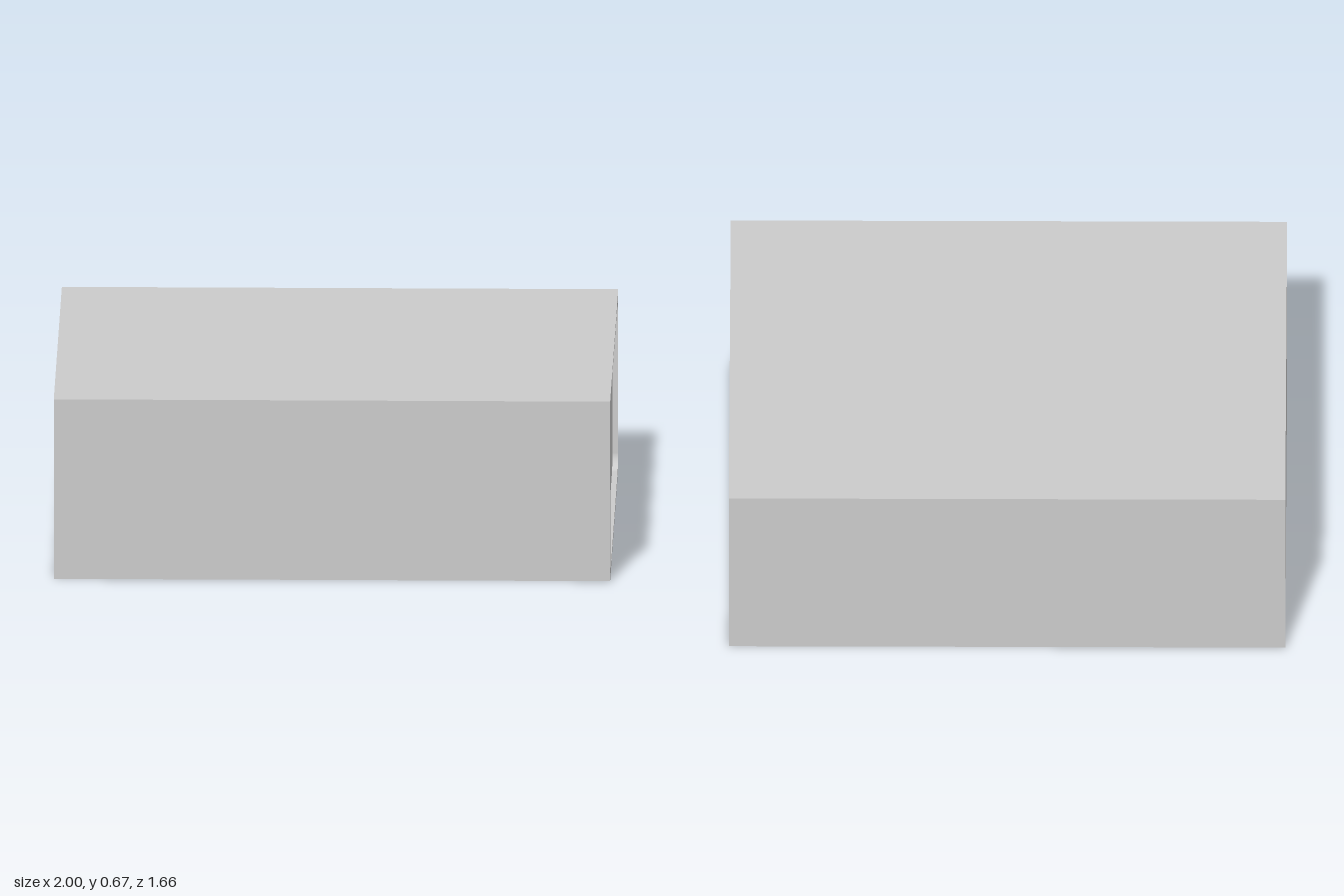
import * as THREE from 'three';

const WIDTH = 2, HEIGHT = 0.665, DEPTH = 1.66;
const MID_Y = 0.335;                 // centre height of the opening
const HALF_Z = 0.765, HALF_Y = 0.315, RADIUS = 0.055;

const material = new THREE.MeshStandardMaterial({ color: 0xcccccc });

function part(name, geometry) {
  const mesh = new THREE.Mesh(geometry, material);
  mesh.name = name;
  return mesh;
}

// Rounded rectangle of the opening, shrunk evenly by inset
function opening(path, inset = 0) {
  const r = RADIUS - inset;
  const cx = HALF_Z - RADIUS, cy = HALF_Y - RADIUS;
  [[1, 1], [-1, 1], [-1, -1], [1, -1]].forEach(([sx, sy], i) => {
    path.absarc(sx * cx, MID_Y + sy * cy, r, i * Math.PI / 2, (i + 1) * Math.PI / 2, false);
  });
  return path;
}

function rectangle(path, halfWidth, bottom, top) {
  path.moveTo(-halfWidth, bottom);
  path.lineTo(halfWidth, bottom);
  path.lineTo(halfWidth, top);
  path.lineTo(-halfWidth, top);
  path.closePath();
  return path;
}

// Inward-facing room: rings swept along x, a small cove, then the back wall
function roomGeometry() {
  const cove = 0.025, backX = -0.93, steps = 4;
  const rings = [[WIDTH / 2, 0]];
  for (let i = 0; i <= steps; i++) {
    const a = (i / steps) * Math.PI / 2;
    rings.push([backX + cove * (1 - Math.sin(a)), cove * (1 - Math.cos(a))]);
  }
  const positions = [], index = [];
  let n = 0;
  for (const [x, inset] of rings) {
    const points = opening(new THREE.Path(), inset).getPoints(8);
    n = points.length;
    for (const p of points) positions.push(x, p.y, -p.x);
  }
  const centre = positions.length / 3;
  positions.push(backX, MID_Y, 0);
  for (let j = 0; j < n; j++) {
    const k = (j + 1) % n;
    for (let i = 0; i < rings.length - 1; i++) {
      const a = i * n + j, b = i * n + k, c = a + n, d = b + n;
      index.push(a, b, c, b, d, c);
    }
    const last = (rings.length - 1) * n;
    index.push(centre, last + j, last + k);
  }
  const geometry = new THREE.BufferGeometry();
  geometry.setAttribute('position', new THREE.Float32BufferAttribute(positions, 3));
  geometry.setIndex(index);
  geometry.computeVertexNormals();
  return geometry;
}

export function createModel() {
  const group = new THREE.Group();
  group.name = 'building';

  // Outer block, without its +x face (the first two triangles)
  const block = new THREE.BoxGeometry(WIDTH, HEIGHT, DEPTH);
  block.setIndex(Array.from(block.index.array).slice(6));
  block.clearGroups();
  block.translate(0, HEIGHT / 2, 0);
  group.add(part('outerWalls', block));

  // Border around the opening on the +x face
  const border = rectangle(new THREE.Shape(), DEPTH / 2, 0, HEIGHT);
  border.holes.push(opening(new THREE.Path()));
  const frame = new THREE.ShapeGeometry(border, 8);
  frame.rotateY(Math.PI / 2).translate(WIDTH / 2, 0, 0);
  group.add(part('openingFrame', frame));

  // Hollow interior
  group.add(part('room', roomGeometry()));

  // Recessed end wall with the doorway
  const wall = opening(new THREE.Shape());
  wall.holes.push(rectangle(new THREE.Path(), 0.136, 0.027, 0.512));
  const endWall = new THREE.ExtrudeGeometry(wall, { depth: 0.025, bevelEnabled: false, curveSegments: 8 });
  endWall.rotateY(Math.PI / 2).translate(0.955, 0, 0);
  group.add(part('doorwayWall', endWall));

  return group;
}
